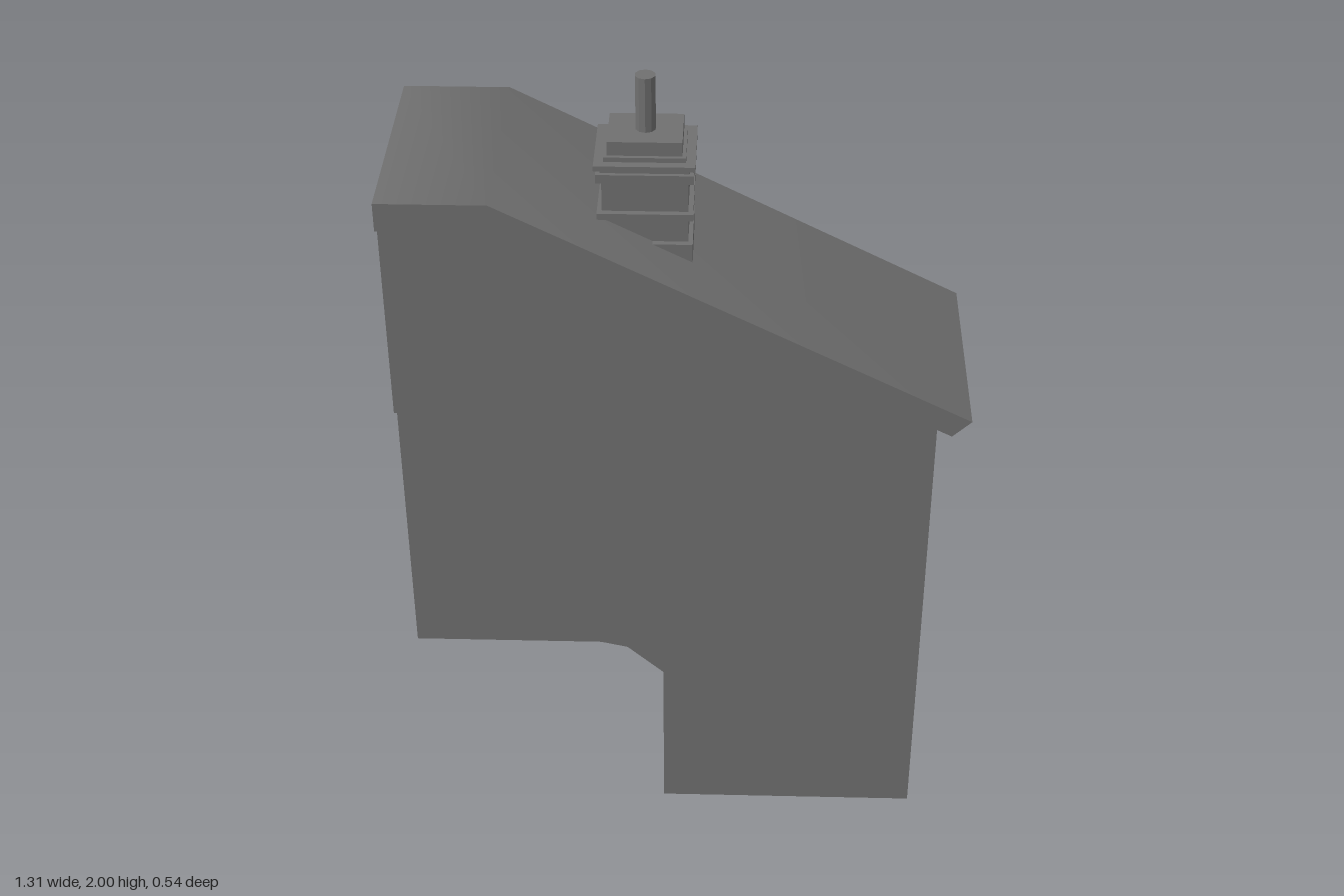
import * as THREE from 'three';
import { mergeVertices } from 'three/addons/utils/BufferGeometryUtils.js';

const flat = new THREE.MeshStandardMaterial({
  color: 0x707070, flatShading: true, side: THREE.DoubleSide,
});
const smooth = new THREE.MeshStandardMaterial({ color: 0x707070, side: THREE.DoubleSide });

// Key heights and depths
const END = -0.655, WALL = 0.585, SPLIT = 1.237;
const LOWER = [-0.251, 0.197];  // z of the lower walls
const UPPER = [-0.125, 0.236];  // z of the gable walls
const ROOF = [-0.268, 0.268];   // z of the roof edges
const roofY = x => 1.805 - 0.51 * (x + 0.41);

function add(group, name, geometry, material = flat) {
  const mesh = new THREE.Mesh(geometry, material);
  mesh.name = name;
  group.add(mesh);
  return mesh;
}

const shapeOf = pts => new THREE.Shape(pts.map(p => new THREE.Vector2(p[0], p[1])));

// Flat panel in the xy plane
function panel(group, name, pts, z) {
  add(group, name, new THREE.ShapeGeometry(shapeOf(pts))).position.z = z;
}

// Folded sheet: an xy path, drawn towards +x for an upward face, swept from z0 to z1
function sheet(group, name, path, z0, z1, material = flat) {
  const v = [];
  for (let i = 0; i < path.length - 1; i++) {
    const [a, b] = [path[i], path[i + 1]];
    v.push(...a, z0, ...b, z1, ...b, z0, ...a, z0, ...a, z1, ...b, z1);
  }
  let g = new THREE.BufferGeometry();
  g.setAttribute('position', new THREE.Float32BufferAttribute(v, 3));
  if (material === smooth) g = mergeVertices(g);
  g.computeVertexNormals();
  add(group, name, g, material);
}

// Solid block with an xy outline, centred on z = 0
function block(group, name, pts, halfZ) {
  const g = new THREE.ExtrudeGeometry(shapeOf(pts), { depth: 2 * halfZ, bevelEnabled: false });
  g.translate(0, 0, -halfZ);
  add(group, name, g);
}

function makeBody() {
  const body = new THREE.Group();
  body.name = 'body';
  const soffit = [[END, 0.522], [-0.2, 0.522], [-0.135, 0.507], [-0.047, 0.426], [-0.047, 0]];

  // Lower walls, open at the -x end and under the leg
  const lower = [...soffit, [WALL, 0], [WALL, SPLIT], [END, SPLIT]];
  panel(body, 'lowerBackWall', lower, LOWER[0]);
  panel(body, 'lowerFrontWall', lower, LOWER[1]);
  sheet(body, 'bodyUnderside', [...soffit].reverse(), ...LOWER);
  sheet(body, 'endWall', [[WALL, SPLIT], [WALL, 0]], ...LOWER);

  // Gable walls and the ledges joining them to the lower walls
  const gable = [[END, SPLIT], [WALL, SPLIT], [-0.41, 1.737], [END, 1.737]];
  const ledge = [[END, SPLIT], [WALL, SPLIT]];
  for (const [i, side] of ['Back', 'Front'].entries()) {
    panel(body, `gable${side}Wall`, gable, UPPER[i]);
    sheet(body, `ledge${side}`, ledge, LOWER[i], UPPER[i]);
  }
  return body;
}

function makeRoof() {
  const roof = new THREE.Group();
  roof.name = 'roof';
  const top = [[END, 1.805], [-0.41, 1.805], [0.655, 1.262]];
  const under = [[END, 1.737], [-0.41, 1.737], [0.612, 1.221]];
  sheet(roof, 'roofTop', top, ...ROOF, smooth);
  sheet(roof, 'endFascia', [top[2], under[2]], ...ROOF);
  for (const [i, side] of ['Back', 'Front'].entries()) {
    panel(roof, `fascia${side}`, [...top, ...[...under].reverse()], ROOF[i]);
    sheet(roof, `eaveUnderside${side}`, under, UPPER[i], ROOF[i]);
  }
  // Overhang beyond the end wall
  sheet(roof, 'endEaveUnderside', [under[2], [WALL, 1.235]], ...UPPER);
  return roof;
}

function makeChimney() {
  const chimney = new THREE.Group();
  chimney.name = 'chimney';
  const cx = -0.083;

  // Foot and shaft are cut along the roof slope
  const footX = 0.022, footTop = 1.63;
  const meetX = -0.41 + (1.805 - footTop) / 0.51;
  block(chimney, 'chimneyFoot',
    [[meetX, footTop], [footX, roofY(footX)], [footX, footTop]], 0.09);
  const l = cx - 0.095, r = cx + 0.095;
  block(chimney, 'chimneyShaft', [[l, roofY(l)], [r, roofY(r)], [r, 1.785], [l, 1.785]], 0.076);

  // Bands and cap: half width, half depth, bottom, top
  const tiers = [
    ['chimneyBand', 0.106, 0.09, 1.69, 1.706],
    ['lowerCornice', 0.107, 0.09, 1.782, 1.803],
    ['corniceNeck', 0.098, 0.081, 1.803, 1.815],
    ['upperCornice', 0.111, 0.095, 1.815, 1.827],
    ['capStep', 0.09, 0.075, 1.827, 1.838],
    ['chimneyCap', 0.082, 0.066, 1.838, 1.871],
  ];
  for (const [name, hx, hz, y0, y1] of tiers) {
    add(chimney, name, new THREE.BoxGeometry(2 * hx, y1 - y0, 2 * hz))
      .position.set(cx, (y0 + y1) / 2, 0);
  }

  // Flue pipe
  add(chimney, 'fluePipe', new THREE.CylinderGeometry(0.023, 0.023, 0.13, 10))
    .position.set(cx, 1.935, 0);
  chimney.position.z = 0.038;
  return chimney;
}

export function createModel() {
  const model = new THREE.Group();
  model.name = 'gabledHouse';
  model.add(makeBody(), makeRoof(), makeChimney());
  return model;
}
